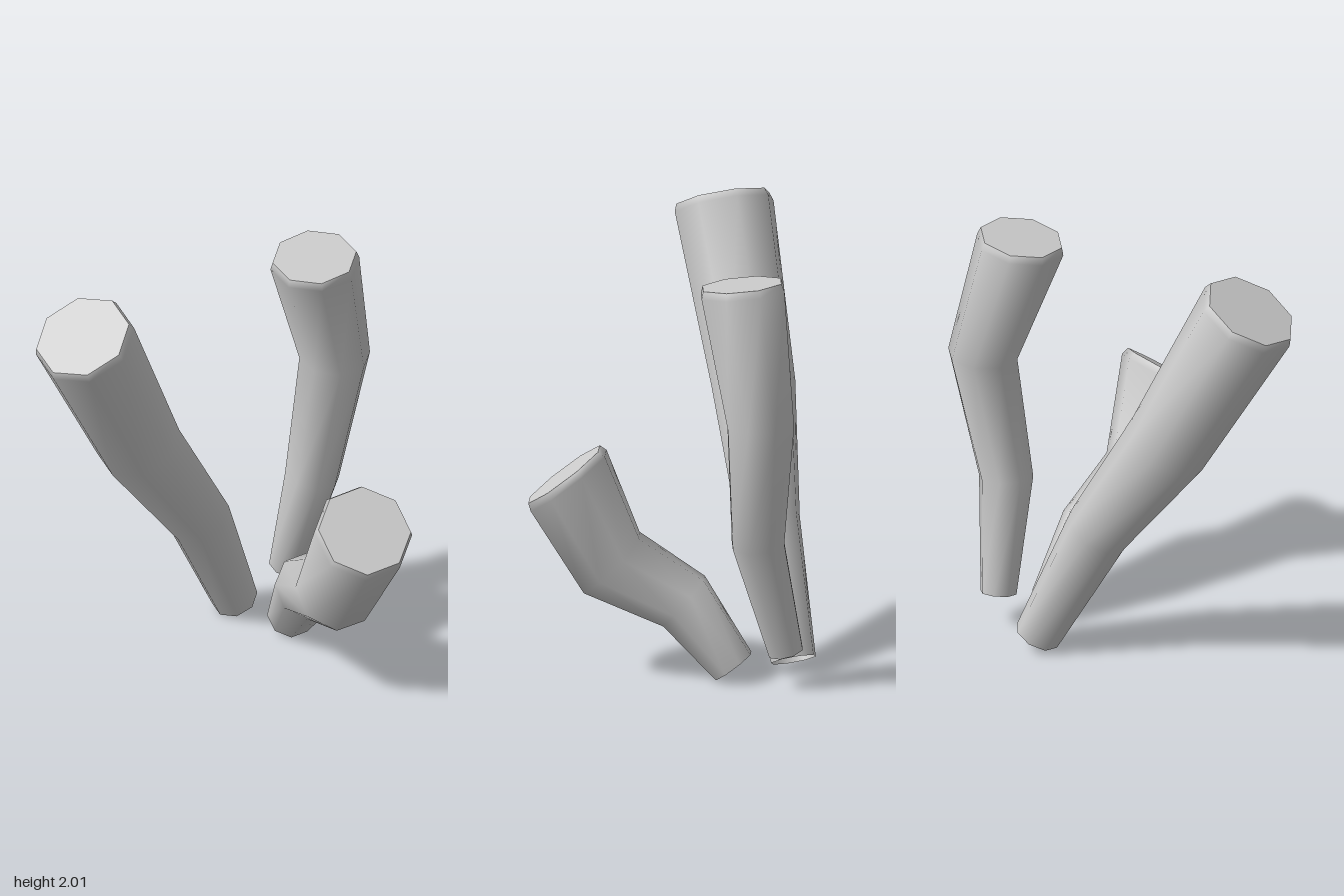
import * as THREE from 'three';

const SIDES = 8;
const V = (a) => new THREE.Vector3(...a);

// Lofts octagonal rings along bent joints [x, y, z, radius], open below, with a bevelled flat cap on top.
// seam points from the cap centre to one of its corners; capNormal tilts the cap.
function limb({ name, joints, seam, capNormal }) {
  const points = joints.map((j) => V(j));
  const last = points.length - 1;
  const dirs = points.slice(1).map((p, i) => p.clone().sub(points[i]).normalize());
  const rings = points.map((centre, i) => {
    const normal = i === 0 ? dirs[0].clone()
      : i === last ? V(capNormal).normalize()
      : dirs[i - 1].clone().add(dirs[i]).normalize();
    return { centre, normal, radius: joints[i][3] };
  });

  // Bevel: the final side ring sits just below the smaller cap ring
  const cap = rings[last];
  rings.splice(last, 0, {
    centre: cap.centre.clone().addScaledVector(cap.normal, -0.035),
    normal: cap.normal,
    radius: cap.radius * 1.06,
  });

  const corners = ({ centre, normal, radius }) => {
    const u = V(seam).projectOnPlane(normal).normalize();
    const w = new THREE.Vector3().crossVectors(normal, u);
    return Array.from({ length: SIDES }, (_, k) => {
      const a = (k / SIDES) * Math.PI * 2;
      return centre.clone()
        .addScaledVector(u, radius * Math.cos(a))
        .addScaledVector(w, radius * Math.sin(a));
    });
  };

  // Smooth side wall
  const verts = rings.flatMap(corners);
  const index = [];
  for (let i = 0; i < rings.length - 1; i++) {
    for (let k = 0; k < SIDES; k++) {
      const a = i * SIDES + k;
      const b = i * SIDES + ((k + 1) % SIDES);
      index.push(a, b, b + SIDES, a, b + SIDES, a + SIDES);
    }
  }

  // Flat cap with its own corners, so its rim stays sharp
  const start = verts.length;
  verts.push(...corners(cap));
  for (let k = 1; k < SIDES - 1; k++) index.push(start, start + k, start + k + 1);

  const geometry = new THREE.BufferGeometry().setFromPoints(verts);
  geometry.setIndex(index);
  geometry.computeVertexNormals();
  const mesh = new THREE.Mesh(geometry, new THREE.MeshStandardMaterial({
    color: 0xcccccc, side: THREE.DoubleSide,
  }));
  mesh.name = name;
  return mesh;
}

export function createModel() {
  const model = new THREE.Group();
  model.name = 'bentStalks';
  model.add(
    // Tall stalk leaning forward to the right
    limb({
      name: 'rightStalk',
      joints: [
        [-0.185, 0.045, -0.375, 0.105],
        [-0.275, 0.625, -0.11, 0.147],
        [-0.46, 1.155, 0.19, 0.195],
        [-0.61, 1.905, 0.555, 0.218],
      ],
      seam: [0.08, -0.076, 0.19],
      capNormal: [-0.15, 0.74, 0.36],
    }),
    // Upright stalk at the back
    limb({
      name: 'backStalk',
      joints: [
        [0.01, 0.16, -0.537, 0.083],
        [0.14, 0.685, -0.495, 0.125],
        [0.215, 1.27, -0.595, 0.16],
        [0.173, 1.88, -0.425, 0.19],
      ],
      seam: [0.085, -0.025, 0.17],
      capNormal: [0, 1, 0.14],
    }),
    // Short stalk bending out to the left
    limb({
      name: 'leftStalk',
      joints: [
        [0.1, 0.055, -0.29, 0.105],
        [0.235, 0.345, -0.11, 0.15],
        [0.445, 0.513, 0.14, 0.19],
        [0.62, 0.932, 0.265, 0.212],
      ],
      seam: [0.065, -0.135, 0.168],
      capNormal: [0.37, 0.79, 0.49],
    }),
  );
  return model;
}
